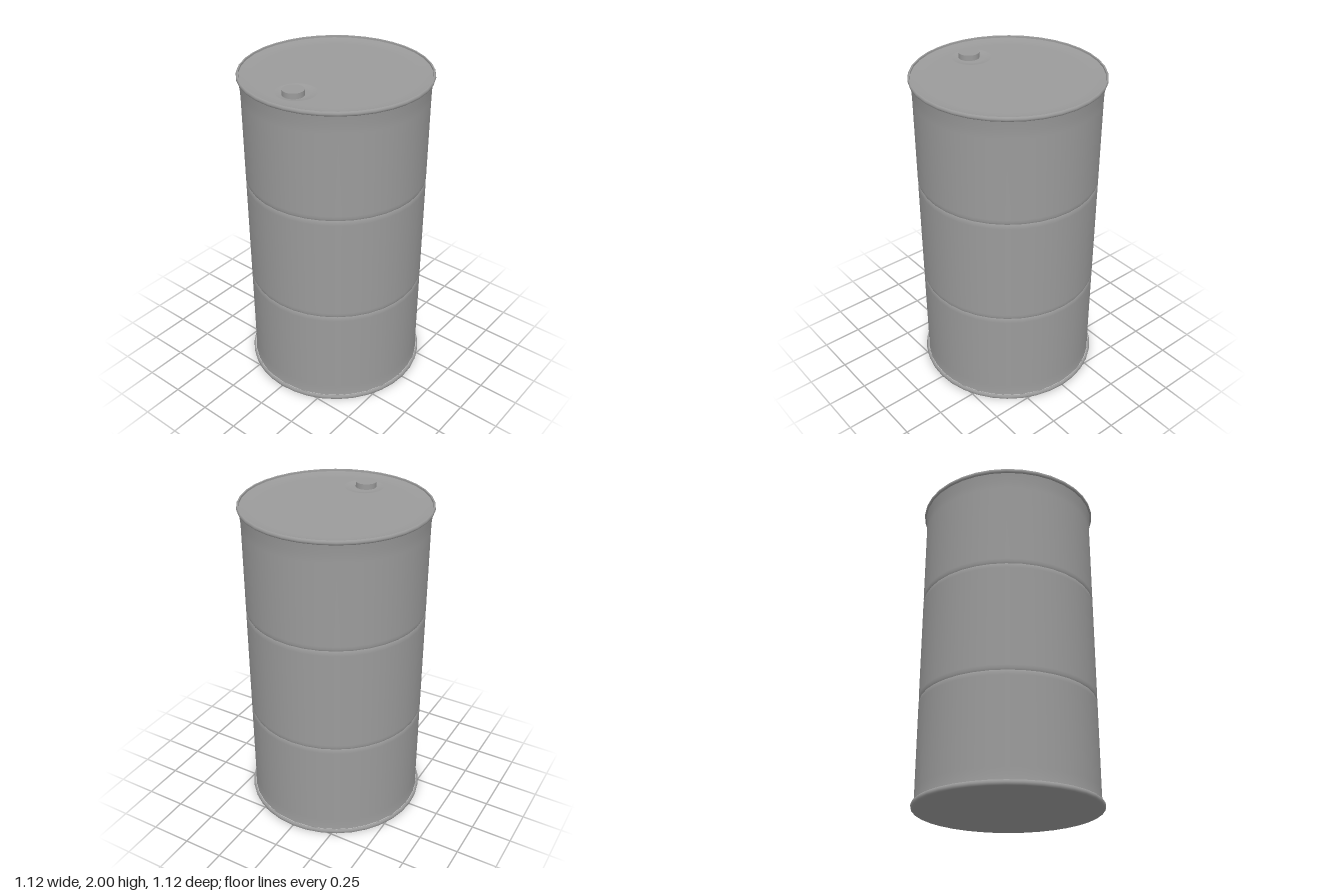
import * as THREE from 'three';

const SIDES = 36;
const material = new THREE.MeshStandardMaterial({ color: 0x9b9b9b });

function add(group, name, geometry, x = 0, y = 0, z = 0) {
  const mesh = new THREE.Mesh(geometry, material);
  mesh.name = name;
  mesh.position.set(x, y, z);
  group.add(mesh);
}

// Profile points run bottom centre -> outside -> top centre so faces look outward.
function lathe(points) {
  return new THREE.LatheGeometry(points.map(([r, y]) => new THREE.Vector2(r, y)), SIDES);
}

export function createModel() {
  const drum = new THREE.Group();
  drum.name = 'drum';

  // Three straight wall sections that meet in narrow V grooves; the top flares into the rim
  const R = 0.541, low = 0.653, high = 1.33;
  const grooveAbove = (y) => [[R - 0.005, y], [R, y + 0.012], [R, y + 0.03], [R, y + 0.08]];
  const grooveBelow = (y) => [[R, y - 0.08], [R, y - 0.03], [R, y - 0.012], [R - 0.005, y]];
  add(drum, 'lowerWall', lathe([[0.544, 0.028], [R, 0.06], [R, 0.1], ...grooveBelow(low)]));
  add(drum, 'middleWall', lathe([...grooveAbove(low), ...grooveBelow(high)]));
  add(drum, 'upperWall', lathe([...grooveAbove(high), [R, 1.86], [R + 0.001, 1.91], [0.549, 1.968]]));

  // Rolled rims at both ends
  const rim = (y0, y1) => lathe([
    [0.54, y0], [0.552, y0], [0.558, y0 + 0.005], [0.56, (y0 + y1) / 2],
    [0.558, y1 - 0.005], [0.553, y1], [0.547, y1 - 0.002],
  ]);
  add(drum, 'topRim', rim(1.967, 1.994));
  add(drum, 'bottomRim', rim(0, 0.03));

  // Flat base
  add(drum, 'base', lathe([[0, 0], [0.552, 0]]));

  // Slightly recessed lid: short lip, soft bevel and flat panel with a round opening
  const lidY = 1.974;
  add(drum, 'rimInnerLip', lathe([[0.547, 1.992], [0.546, 1.982]]));
  add(drum, 'lidBevel', lathe([[0.546, 1.982], [0.515, 1.977], [0.485, lidY], [0.46, lidY]]));

  const dishZ = 0.338, dishR = 0.118;
  const circle = (Type, r, y) => new Type(Array.from({ length: SIDES }, (_, i) => {
    const a = (i / SIDES) * Math.PI * 2;
    return new THREE.Vector2(r * Math.cos(a), y + r * Math.sin(a));
  }));
  const panel = circle(THREE.Shape, 0.46, 0);
  panel.holes.push(circle(THREE.Path, dishR, -dishZ));
  add(drum, 'lidPanel', new THREE.ShapeGeometry(panel).rotateX(-Math.PI / 2), 0, lidY, 0);

  // Shallow dish around the filler cap
  add(drum, 'capDish', lathe([
    [dishR, lidY], [0.112, lidY - 0.0003], [0.085, 1.968], [0.07, 1.967], [0, 1.967],
  ]), 0, 0, dishZ);

  // Filler cap
  add(drum, 'fillerCap', new THREE.CylinderGeometry(0.062, 0.062, 0.036, 32), 0, 1.982, 0.362);

  return drum;
}
